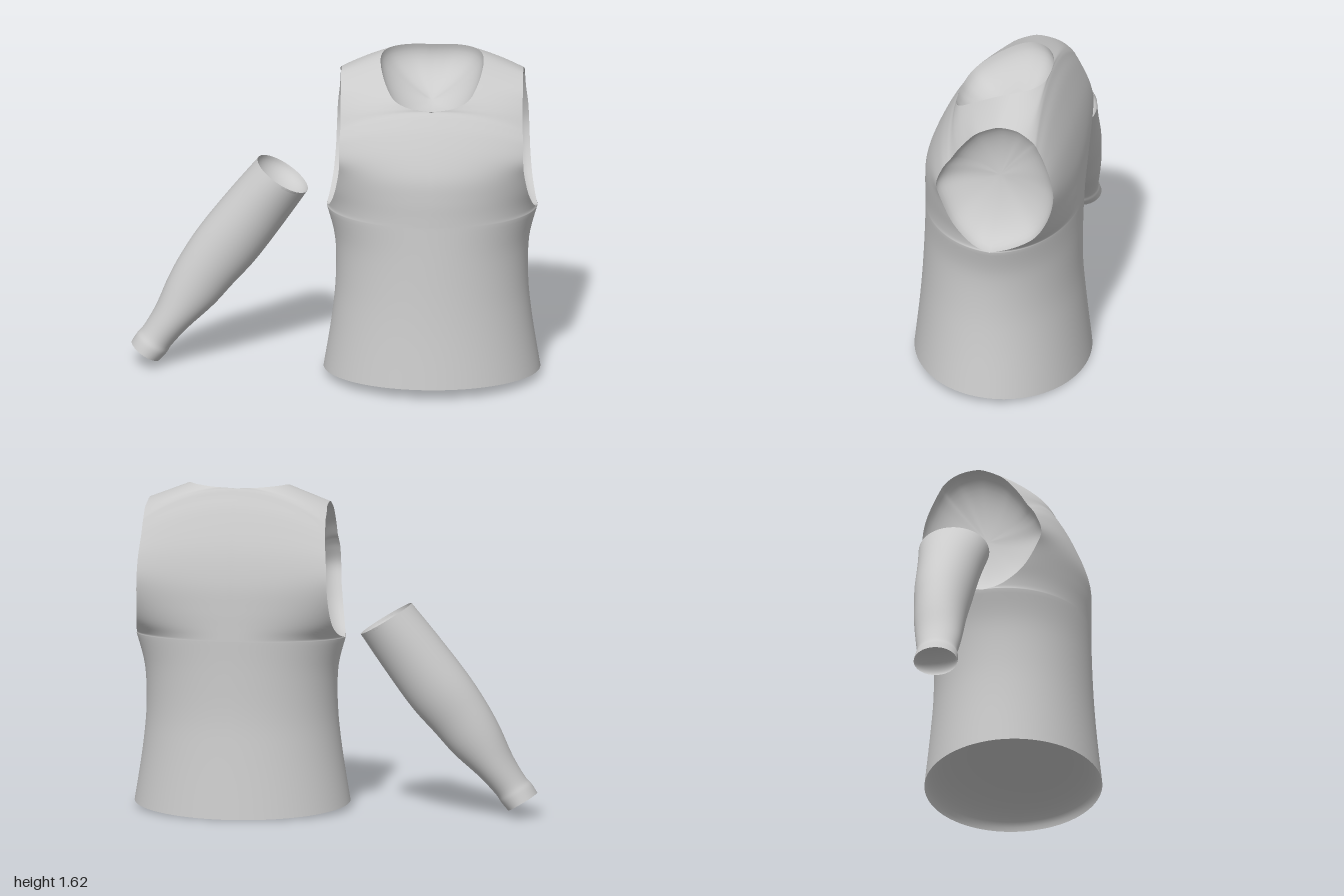
import * as THREE from 'three';
import { mergeVertices } from 'three/addons/utils/BufferGeometryUtils.js';

const CENTRE_X = 0.47;
const material = new THREE.MeshStandardMaterial({ color: 0xcccccc, side: THREE.DoubleSide });

// Smoothly resample a short table of cross-section values
function resample(table, steps) {
  const rows = [];
  const last = table.length - 1;
  for (let i = 0; i <= last * steps; i++) {
    const k = Math.min(Math.floor(i / steps), last - 1);
    const t = i / steps - k;
    const p = (n) => table[Math.max(0, Math.min(last, n))];
    rows.push(p(k).map((b, c) => {
      const a = p(k - 1)[c], d = p(k + 1)[c], e = p(k + 2)[c];
      return b + 0.5 * t * (d - a + t * (2 * a - 5 * b + 4 * d - e + t * (3 * (b - d) + e - a)));
    }));
  }
  return rows;
}

// Append a grid of points (rows x columns) as triangles
function addGrid(out, rows, flip = false) {
  const base = out.positions.length / 3;
  const w = rows[0].length;
  rows.forEach((row) => row.forEach((p) => out.positions.push(...p)));
  for (let i = 0; i < rows.length - 1; i++) {
    for (let j = 0; j < w - 1; j++) {
      const a = base + i * w + j, b = a + 1, c = b + w, d = a + w;
      if (flip) out.indices.push(a, c, b, a, d, c);
      else out.indices.push(a, b, c, a, c, d);
    }
  }
}

function toMesh(out, name) {
  let geometry = new THREE.BufferGeometry();
  geometry.setAttribute('position', new THREE.Float32BufferAttribute(out.positions, 3));
  geometry.setIndex(out.indices);
  geometry = mergeVertices(geometry, 1e-4);
  geometry.computeVertexNormals();
  const mesh = new THREE.Mesh(geometry, material);
  mesh.name = name;
  return mesh;
}

// Hollow bowl closing an opening, sunk along the inward vector
function makeBowl(rim, inward, name) {
  const loop = [...rim, rim[0]];
  const centre = [0, 1, 2].map((c) => {
    const values = rim.map((p) => p[c]);
    return (Math.min(...values) + Math.max(...values)) / 2;
  });
  const rings = [];
  for (let i = 0; i <= 12; i++) {
    const a = i / 12 * Math.PI / 2;
    const f = Math.cos(a), sink = Math.sin(a);
    rings.push(loop.map((p) => p.map((v, c) => centre[c] + (v - centre[c]) * f + inward[c] * sink)));
  }
  const out = { positions: [], indices: [] };
  addGrid(out, rings);
  return toMesh(out, name);
}

// Each row runs from the centre line (or neckline) to the side (or armhole):
// [inner x, y, z, outer x, y, z, arc angle]
const Q = Math.PI / 2;
const frontArmpit = [0, 0.88, 0.375, 0.515, 0.86, -0.04, Q];
const backArmpit = [0, 0.88, -0.39, 0.515, 0.86, -0.04, Q];
const frontWaist = [
  [0, 0.06, 0.43, 0.53, 0.035, 0, Q],
  [0, 0.3, 0.405, 0.49, 0.29, 0, Q],
  [0, 0.5, 0.39, 0.47, 0.5, -0.01, Q],
  [0, 0.72, 0.38, 0.475, 0.7, -0.03, Q],
  frontArmpit,
];
const chestFront = [
  frontArmpit,
  [0, 0.93, 0.375, 0.5, 0.89, 0.05, 1.37],
  [0, 1.02, 0.375, 0.475, 0.98, 0.15, 1.15],
  [0, 1.12, 0.367, 0.455, 1.1, 0.215, 1],
  [0, 1.22, 0.335, 0.45, 1.18, 0.24, 0.85],
  [0, 1.33, 0.285, 0.45, 1.26, 0.215, 0.75],
  [0, 1.4, 0.245, 0.447, 1.305, 0.188, 0.65],
  [0, 1.43, 0.225, 0.445, 1.335, 0.165, 0.6],
];
const shoulder = [
  [0.1, 1.445, 0.215, 0.445, 1.39, 0.13, 0.5],
  [0.18, 1.475, 0.18, 0.445, 1.44, 0.09, 0.4],
  [0.225, 1.53, 0.1, 0.445, 1.49, 0.04, 0.3],
  [0.25, 1.59, -0.01, 0.445, 1.53, -0.04, 0.3],
  [0.245, 1.62, -0.1, 0.445, 1.54, -0.09, 0.3],
  [0.2, 1.625, -0.18, 0.445, 1.53, -0.16, 0.3],
  [0.11, 1.622, -0.23, 0.45, 1.505, -0.21, 0.4],
];
const upperBack = [
  [0, 1.615, -0.24, 0.45, 1.47, -0.25, 0.5],
  [0, 1.58, -0.257, 0.452, 1.44, -0.268, 0.55],
  [0, 1.5, -0.295, 0.455, 1.38, -0.298, 0.6],
  [0, 1.33, -0.355, 0.465, 1.28, -0.335, 0.7],
  [0, 1.17, -0.385, 0.47, 1.17, -0.35, 0.8],
  [0, 1.04, -0.39, 0.475, 1.05, -0.32, 0.95],
  [0, 0.95, -0.39, 0.485, 0.95, -0.255, 1.1],
  [0, 0.9, -0.39, 0.5, 0.89, -0.15, 1.3],
  backArmpit,
];
const backWaist = [
  backArmpit,
  [0, 0.72, -0.385, 0.475, 0.7, -0.03, Q],
  [0, 0.5, -0.385, 0.47, 0.5, -0.01, Q],
  [0, 0.3, -0.4, 0.49, 0.29, 0, Q],
  [0, 0.005, -0.43, 0.53, 0.035, 0, Q],
];

// Sweep one row outwards along its arc, straightening it on the shoulders
function torsoRow([xn, yn, zn, xe, ye, ze, angle], side) {
  const columns = 24, points = [];
  const inner = Math.max(0, xn);
  const straight = Math.min(1, inner / 0.25);
  for (let j = 0; j <= columns; j++) {
    const a = angle * j / columns;
    const across = Math.sin(a) / Math.sin(angle);
    const arc = (Math.cos(a) - Math.cos(angle)) / (1 - Math.cos(angle));
    const rise = arc + (1 - across - arc) * straight;
    points.push([
      CENTRE_X + side * (inner + (xe - inner) * across),
      ye + (yn - ye) * rise,
      ze + (zn - ze) * rise,
    ]);
  }
  return points;
}

function makeTorso() {
  const group = new THREE.Group();
  group.name = 'torso';
  const out = { positions: [], indices: [] };
  const strips = [frontWaist, [...chestFront, ...shoulder, ...upperBack], backWaist];
  const [left, right] = [1, -1].map((side) => strips.map((strip) => {
    const rows = resample(strip, 5).map((r) => torsoRow(r, side));
    addGrid(out, rows, side < 0);
    return rows;
  }));
  group.add(toMesh(out, 'sleevelessBody'));

  // Armholes
  const outer = (half) => half[1].map((row) => row[row.length - 1]);
  group.add(makeBowl(outer(left), [-0.15, 0, 0], 'leftArmhole'));
  group.add(makeBowl(outer(right), [0.15, 0, 0], 'rightArmhole'));

  // Neckline
  const neck = (half) => half[1].map((row) => row[0]).filter((p) => Math.abs(p[0] - CENTRE_X) > 1e-5);
  group.add(makeBowl([...neck(left), ...neck(right).reverse()], [0, -0.14, -0.06], 'neckOpening'));

  // Hem
  const frontHem = (half) => half[0][0];
  const backHem = (half) => half[2][half[2].length - 1];
  const hem = [
    ...[...frontHem(right)].reverse(), ...frontHem(left),
    ...[...backHem(left)].reverse(), ...backHem(right),
  ];
  group.add(makeBowl(hem, [0, 0.17, 0], 'hemOpening'));
  return group;
}

// Slanted oval rings [x, y, z, half width, half depth]
function makeSleeve() {
  const group = new THREE.Group();
  group.name = 'rightSleeve';
  const rings = [
    [-0.262, 0.975, -0.135, 0.144, 0.175],
    [-0.38, 0.82, -0.135, 0.155, 0.155],
    [-0.525, 0.627, -0.13, 0.16, 0.142],
    [-0.63, 0.49, -0.12, 0.147, 0.13],
    [-0.71, 0.375, -0.11, 0.13, 0.123],
    [-0.8, 0.25, -0.095, 0.096, 0.112],
    [-0.87, 0.155, -0.085, 0.083, 0.1],
    [-0.9, 0.115, -0.08, 0.086, 0.106],
    [-0.93, 0.075, -0.08, 0.082, 0.108],
  ];
  const sides = 40;
  const rows = resample(rings, 5).map(([x, y, z, w, d]) => Array.from({ length: sides + 1 }, (_, j) => {
    const a = (j % sides) / sides * Math.PI * 2;
    const c = Math.cos(a) * w;
    return [x + 0.855 * c, y - 0.52 * c, z + Math.sin(a) * d];
  }));
  const out = { positions: [], indices: [] };
  addGrid(out, rows);
  group.add(toMesh(out, 'sleeveTube'));
  group.add(makeBowl(rows[0], [-0.05, -0.08, 0], 'sleeveOpening'));
  group.add(makeBowl(rows[rows.length - 1], [0.025, 0.04, 0], 'cuffOpening'));
  return group;
}

export function createModel() {
  const group = new THREE.Group();
  group.name = 'shirt';
  group.add(makeTorso(), makeSleeve());
  return group;
}
